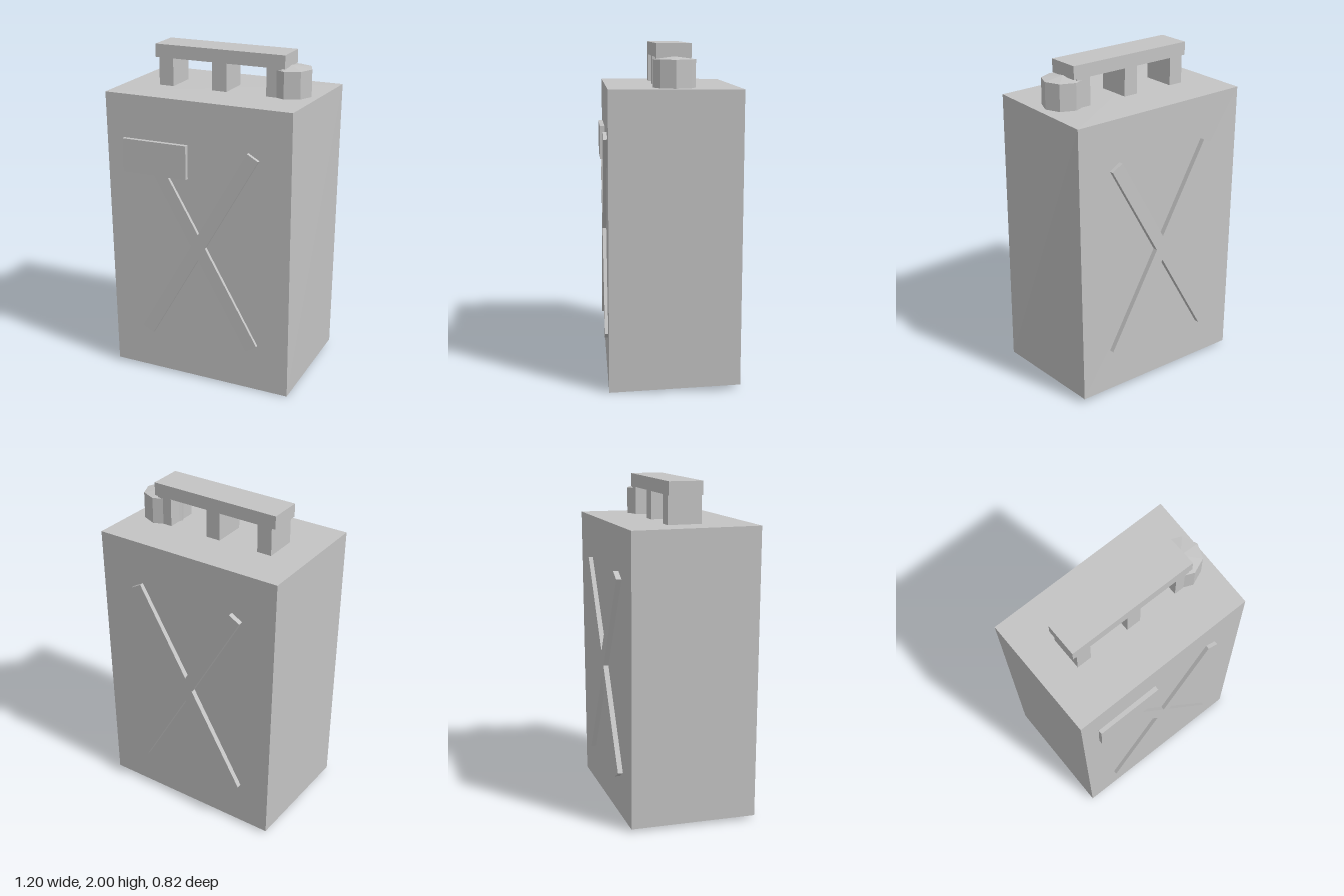
import * as THREE from 'three';

export function createModel() {
  const model = new THREE.Group();
  const grey = new THREE.MeshStandardMaterial({ color: 0xc4c4c4 });
  grey.name = 'light grey metal';

  const add = (name, geometry, x = 0, y = 0, z = 0) => {
    const flat = geometry.index ? geometry.toNonIndexed() : geometry;
    flat.computeVertexNormals(); // one flat normal per face
    const mesh = new THREE.Mesh(flat, grey);
    mesh.name = name;
    mesh.position.set(x, y, z);
    model.add(mesh);
    return mesh;
  };
  const box = (name, x0, x1, y0, y1, z0, z1) =>
    add(name, new THREE.BoxGeometry(x1 - x0, y1 - y0, z1 - z0),
      (x0 + x1) / 2, (y0 + y1) / 2, (z0 + z1) / 2);

  // Body: a box with each corner pushed slightly out of true.
  // Key: left/right side, bottom/top, back/front (- or + on x, y, z).
  const corners = {
    '---': [-0.567, 0.015, -0.38], '+--': [0.575, 0.03, -0.38],
    '--+': [-0.57, 0.02, 0.38], '+-+': [0.573, 0, 0.385],
    '-+-': [-0.6, 1.75, -0.378], '++-': [0.6, 1.748, -0.387],
    '-++': [-0.6, 1.755, 0.386], '+++': [0.574, 1.75, 0.379],
  };
  const bodyGeometry = new THREE.BoxGeometry(1, 1, 1);
  const pos = bodyGeometry.attributes.position;
  const sign = (v) => (v < 0 ? '-' : '+');
  for (let i = 0; i < pos.count; i++) {
    const key = sign(pos.getX(i)) + sign(pos.getY(i)) + sign(pos.getZ(i));
    pos.setXYZ(i, ...corners[key]);
  }
  add('canBody', bodyGeometry);

  // Raised cross braces on the front and back
  for (const [side, z] of [['front', 0.38], ['back', -0.388]]) {
    for (const lean of [-1, 1]) {
      const brace = add(side + 'Brace', new THREE.BoxGeometry(0.079, 1.379, 0.044), 0, 0.873, z);
      brace.rotation.z = lean * Math.PI / 6;
    }
  }

  // Label plate over the upper end of one front brace
  box('labelPlate', -0.483, -0.071, 1.285, 1.49, 0.36, 0.41);

  // Carrying handle: bar on three posts
  box('handleBar', -0.415, 0.413, 1.92, 2, -0.107, 0.097);
  for (const x of [-0.345, 0.002, 0.345]) {
    box('handlePost', x - 0.046, x + 0.046, 1.73, 1.92, -0.107, 0.097);
  }

  // Eight-sided filler cap with a shallow pointed lid
  add('fillerCap', new THREE.CylinderGeometry(0.125, 0.125, 0.175, 8), 0.415, 1.8225, -0.006);
  add('fillerCapLid', new THREE.ConeGeometry(0.125, 0.016, 8, 1, true), 0.415, 1.918, -0.006);

  return model;
}
